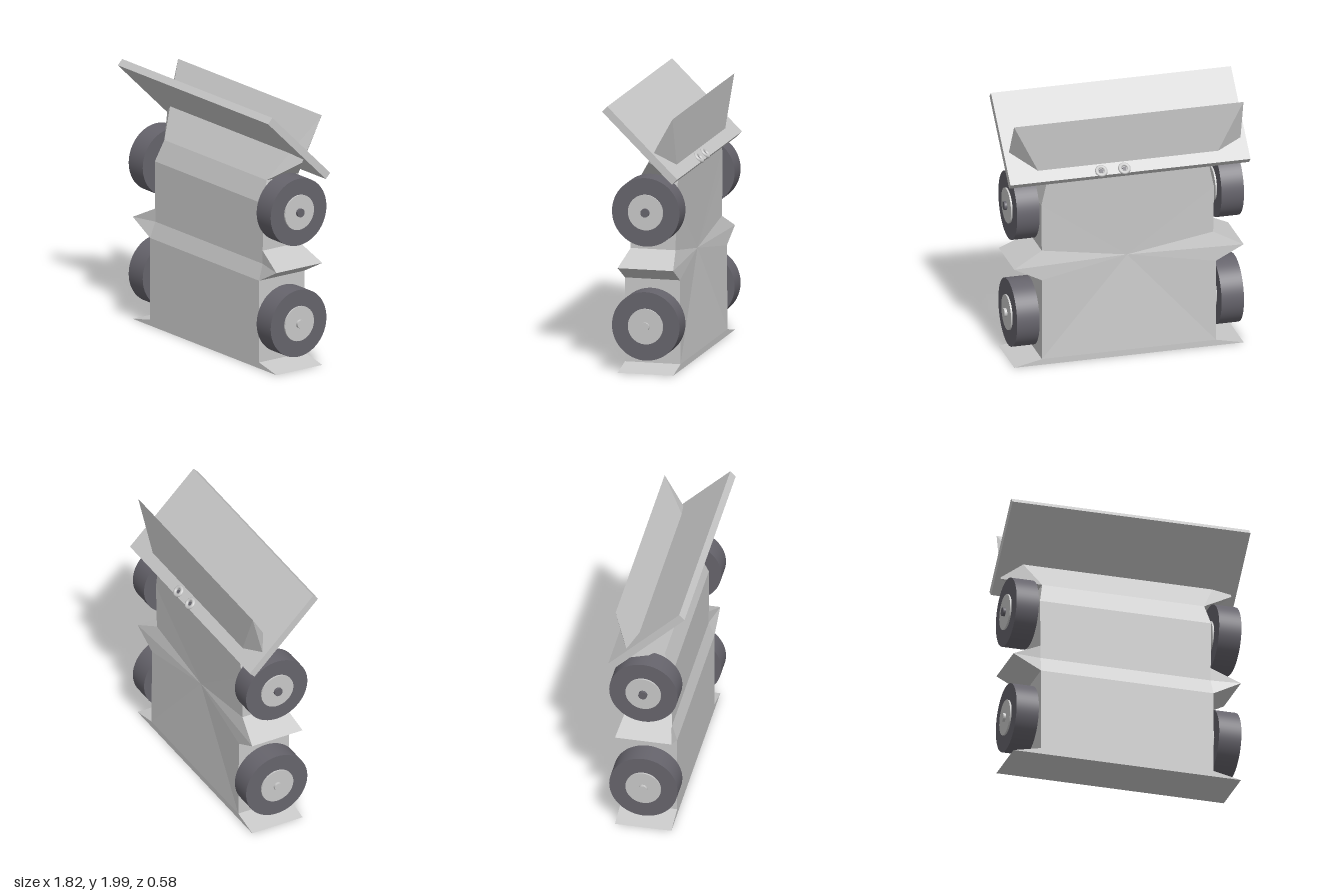
import * as THREE from 'three';

const grey = new THREE.MeshStandardMaterial({ name: 'light grey', color: 0xc8c8c8, side: THREE.DoubleSide });
const dark = new THREE.MeshStandardMaterial({ name: 'dark rubber', color: 0x66646c });

function add(parent, name, geometry, material, x = 0, y = 0, z = 0) {
  const mesh = new THREE.Mesh(geometry, material);
  mesh.name = name;
  mesh.position.set(x, y, z);
  parent.add(mesh);
  return mesh;
}

// Folded chassis shell with pointed fenders, made of flat faces
function bodyGeometry() {
  const out = [];
  // Corners run counter-clockwise seen from outside
  const face = (...p) => {
    for (let i = 1; i < p.length - 1; i++) out.push(...p[0], ...p[i], ...p[i + 1]);
  };
  const flip = ([x, y, z]) => [-x, y, z];
  // Outline of one side, bottom to top: [x, y, front z, back z]
  const outline = [
    [0.87, 0.01, 0.18, -0.24], [0.66, 0.055, 0.18, -0.24], [0.66, 0.68, 0.18, -0.235],
    [0.87, 0.79, 0.18, -0.24], [0.65, 0.9, 0.14, -0.2], [0.655, 1.26, 0.14, -0.205],
    [0.62, 1.42, 0.08, -0.21],
  ];
  const front = outline.map(([x, y, z]) => [x, y, z]);
  const back = outline.map(([x, y, , z]) => [x, y, z]);
  const last = outline.length - 1;

  // Front panels and the raised middle band
  const mid = [0.65, 0.8, 0.14];
  const rows = [front[0], front[1], front[2], mid, front[5], front[6]];
  for (let i = 0; i < rows.length - 1; i++) {
    face(flip(rows[i]), rows[i], rows[i + 1], flip(rows[i + 1]));
  }
  // Side walls and front of the middle fenders
  for (const s of [1, -1]) {
    const f = (...p) => (s > 0 ? face(...p) : face(...p.map(flip).reverse()));
    for (let i = 0; i < last; i++) f(front[i], back[i], back[i + 1], front[i + 1]);
    f(front[2], front[3], mid);
    f(mid, front[3], front[4]);
    f(mid, front[4], front[5]);
  }
  // Dished back, fanned to its centre
  const loop = [...back.slice(1), ...back.slice(1).reverse().map(flip)];
  const centre = [0, 0.79, -0.19];
  loop.forEach((p, i) => face(centre, loop[(i + 1) % loop.length], p));
  face(back[0], flip(back[0]), flip(back[1]), back[1]);
  // Underside
  face(front[0], flip(front[0]), flip(back[0]), back[0]);

  // Sloping top flap with flared, uneven tips
  const fR = front[last], fL = flip(fR), bR = back[last], bL = flip(bR);
  const tR = [0.87, 1.92, -0.235], tL = flip(tR);
  const qR = [0.87, 1.59, -0.055], qL = [-0.87, 1.53, -0.135];
  face(fL, fR, tR, tL);
  face(fR, qR, tR);
  face(fL, tL, qL);
  face(fR, bR, qR);
  face(qR, bR, tR);
  face(fL, qL, bL);
  face(qL, tL, bL);
  face(bR, bL, tL, tR);

  const g = new THREE.BufferGeometry();
  g.setAttribute('position', new THREE.Float32BufferAttribute(out, 3));
  g.computeVertexNormals();
  return g;
}

export function createModel() {
  const model = new THREE.Group();
  model.name = 'toy vehicle';
  add(model, 'body', bodyGeometry(), grey);

  // Slanted plate across the top
  const plate = new THREE.Group();
  plate.name = 'slantedPlate';
  plate.position.set(0, 1.72, 0.0025);
  plate.rotation.x = -0.775;
  add(plate, 'plate', new THREE.BoxGeometry(1.82, 0.057, 0.74), grey);
  // Two small eyelets with pins at its lower edge
  for (const x of [0.04, 0.215]) {
    const ring = add(plate, 'eyelet', new THREE.TorusGeometry(0.033, 0.014, 10, 32), grey, x, 0.03, -0.335);
    ring.rotation.x = Math.PI / 2;
    add(plate, 'pin', new THREE.CylinderGeometry(0.016, 0.016, 0.1, 20), dark, x, -0.018, -0.335);
  }
  model.add(plate);

  // Axles with a wheel and hub at each end
  const cylinder = (r, length) => new THREE.CylinderGeometry(r, r, length, 64).rotateZ(Math.PI / 2);
  for (const [y, axleMaterial] of [[0.365, grey], [1.215, dark]]) {
    add(model, 'axle', cylinder(0.032, 1.785), axleMaterial, 0, y, -0.03);
    for (const side of [1, -1]) {
      add(model, 'wheel', cylinder(0.255, 0.17), dark, side * 0.775, y, -0.03);
      add(model, 'hub', cylinder(0.132, 0.195), grey, side * 0.775, y, -0.03);
    }
  }
  return model;
}
